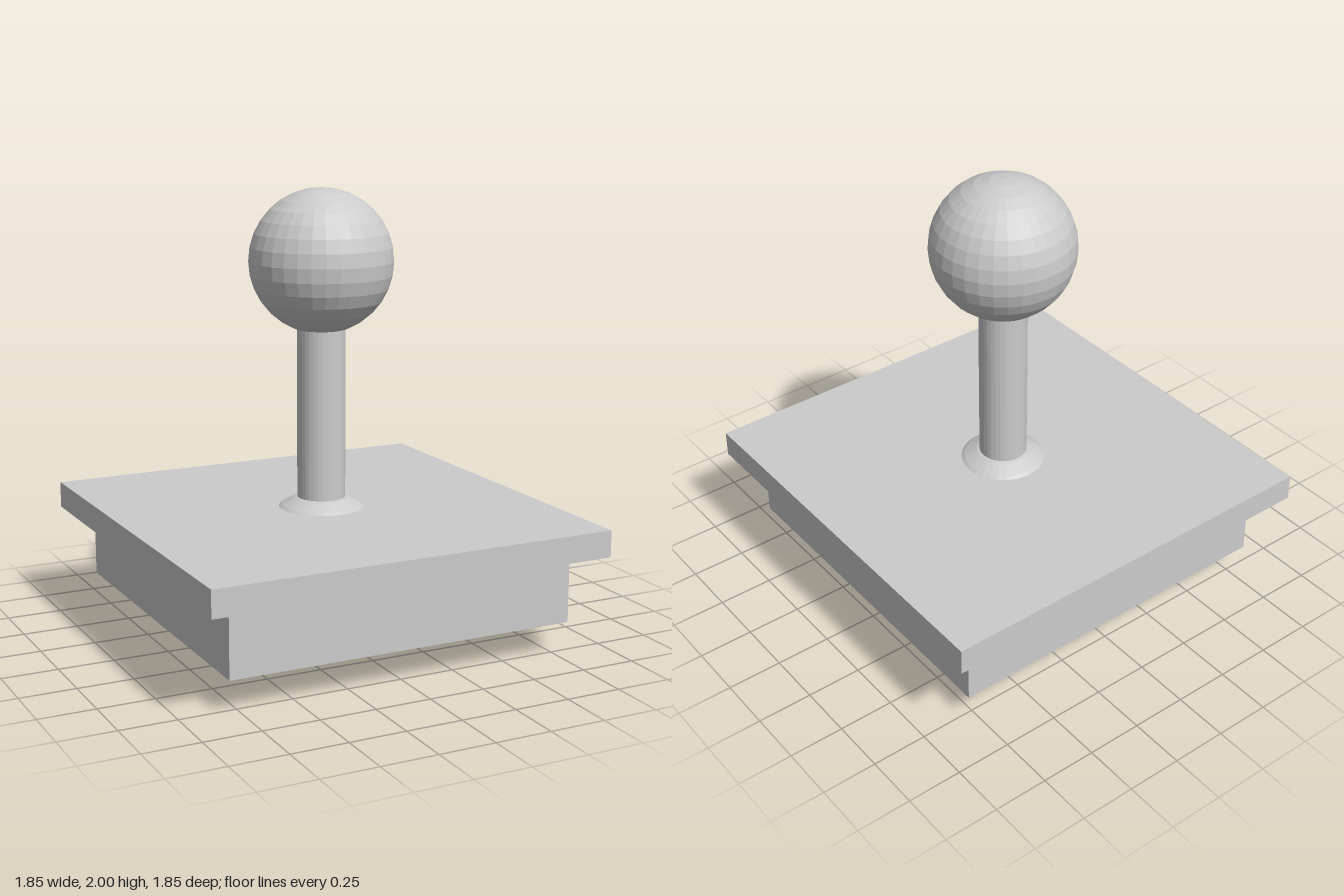
import * as THREE from 'three';

export function createModel() {
  const group = new THREE.Group();
  const material = new THREE.MeshStandardMaterial({ color: 0xcccccc, flatShading: true });

  const add = (name, geometry, y) => {
    const mesh = new THREE.Mesh(geometry, material);
    mesh.name = name;
    mesh.position.y = y;
    group.add(mesh);
  };
  const slab = (name, width, bottom, top) =>
    add(name, new THREE.BoxGeometry(width, top - bottom, width), (bottom + top) / 2);

  const ballRadius = 0.32;
  const ball = () => new THREE.SphereGeometry(ballRadius, 32, 16);

  // Housing with a wider cover plate
  slab('housing', 1.6, 0.145, 0.455);
  slab('coverPlate', 1.85, 0.455, 0.575);

  // Pivot ball showing through both sides of the base
  add('pivotBall', ball(), ballRadius);

  // Stick between the two ball centres, and the grip on top
  const gripY = 2 - ballRadius;
  add('stick', new THREE.CylinderGeometry(0.108, 0.108, gripY - ballRadius, 32), 1);
  add('gripBall', ball(), gripY);

  return group;
}
